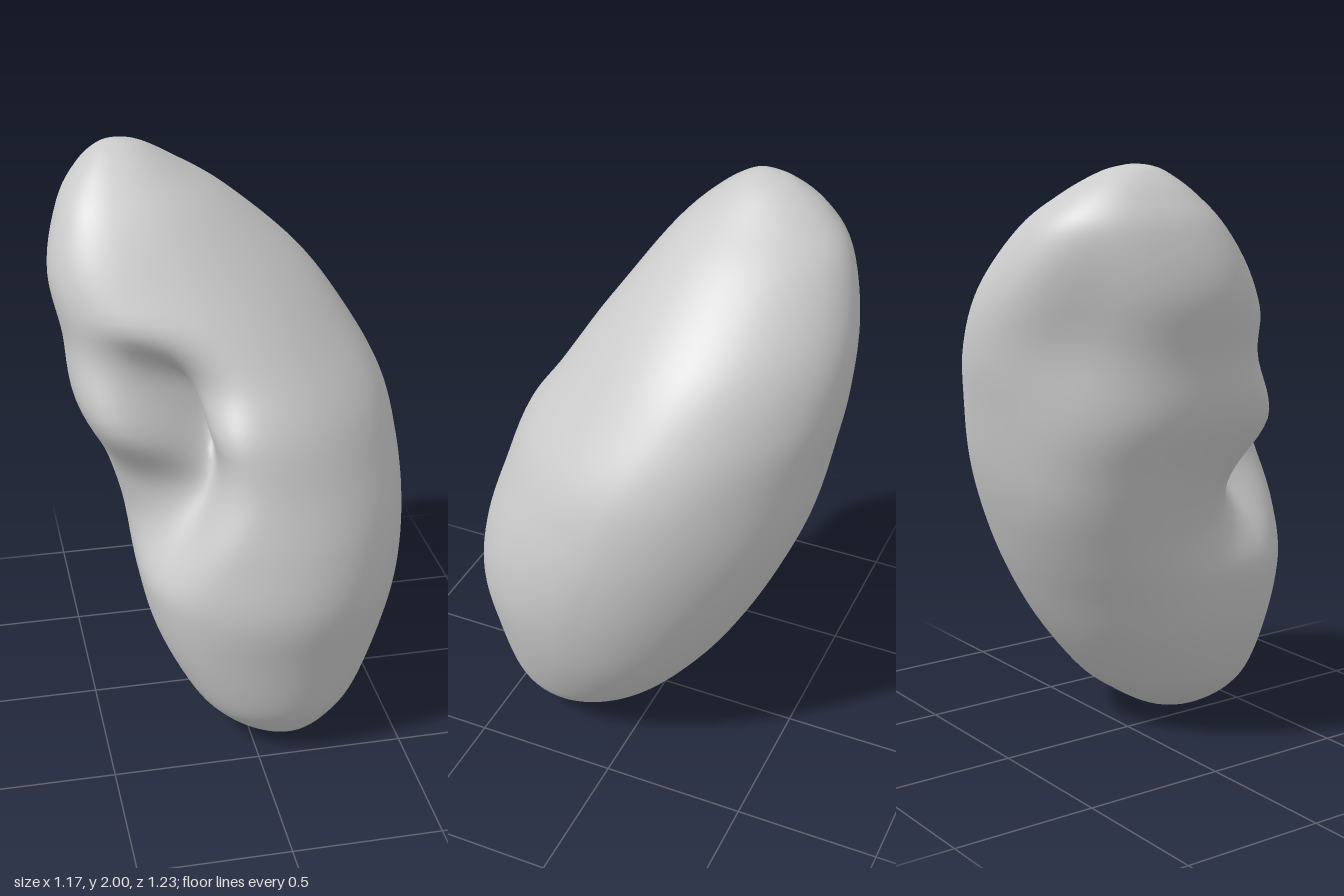
import * as THREE from 'three';

const RINGS = 96, SEGS = 120;

// Body outline at rising heights: y, xMin, xMax, zMin, zMax
const OUTLINE = [
  [0, 0.13, 0.13, 0.29, 0.29],
  [0.006, 0.07, 0.19, 0.23, 0.35],
  [0.03, 0.0, 0.25, 0.15, 0.42],
  [0.1, -0.11, 0.335, 0.03, 0.485],
  [0.2, -0.2, 0.41, -0.1, 0.54],
  [0.4, -0.3, 0.5, -0.26, 0.585],
  [0.6, -0.345, 0.555, -0.375, 0.62],
  [0.8, -0.37, 0.58, -0.46, 0.595],
  [1.0, -0.43, 0.575, -0.53, 0.54],
  [1.2, -0.52, 0.535, -0.58, 0.48],
  [1.4, -0.545, 0.43, -0.618, 0.355],
  [1.6, -0.57, 0.28, -0.61, 0.22],
  [1.8, -0.53, 0.05, -0.535, 0.08],
  [1.91, -0.47, -0.12, -0.43, -0.03],
  [1.975, -0.41, -0.23, -0.32, -0.12],
  [1.995, -0.37, -0.29, -0.25, -0.17],
  [2, -0.33, -0.33, -0.21, -0.21],
];

const spline = (fn) => new THREE.CatmullRomCurve3(OUTLINE.map(fn), false, 'catmullrom', 0.5);
const centres = spline(([y, a, b, c, d]) => new THREE.Vector3((a + b) / 2, y, (c + d) / 2));
const halves = spline(([y, a, b, c, d]) => new THREE.Vector3((b - a) / 2, y, (d - c) / 2));
const bell = (v, s) => Math.exp(-0.5 * (v / s) ** 2);
const step = THREE.MathUtils.smoothstep;

// Fuller upper lobe and lower back, flatter on the other two diagonals
function swelling(deg, y) {
  const lobe = 0.05 + 0.05 * step(y, 1.0, 1.3) + 0.11 * step(y, 1.35, 1.75);
  const back = 0.15 * bell(y - 0.85, 0.22) - 0.15 * bell(y - 1.54, 0.18);
  const front = -0.06 * bell(y - 1.35, 0.3);
  const outer = -0.05 * bell(y - 1.15, 0.4);
  return 1 + lobe * bell(deg - 142, 20) + back * bell(deg - 225, 22)
    + front * bell(deg - 45, 22) + outer * bell(deg - 315, 22);
}

// Slanting notch on the inner side, narrow under the upper lobe, with a deep pit
function notch(deg, y) {
  const off = deg - (154 - 30 * step(y, 0.62, 1.15));
  const depth = 0.42 * step(y, 0.58, 1.0) * (1 - step(y, 1.27, 1.53));
  const frontWidth = 11 + 5 * step(y, 1.15, 1.35);
  const backWidth = 19 - 8 * step(y, 0.92, 1.2);
  const pit = 0.26 * bell(deg - 125, 7) * bell(y - 1.2, 0.09);
  return depth * bell(off, off < 0 ? frontWidth : backWidth) + pit;
}

function bodyGeometry() {
  const pos = [], index = [];
  const first = centres.getPoint(0), last = centres.getPoint(1);
  pos.push(first.x, first.y, first.z);
  for (let i = 1; i < RINGS; i++) {
    const c = centres.getPoint(i / RINGS), h = halves.getPoint(i / RINGS);
    for (let j = 0; j < SEGS; j++) {
      const deg = (j / SEGS) * 360, a = THREE.MathUtils.degToRad(deg);
      const k = swelling(deg, c.y) - notch(deg, c.y);
      pos.push(c.x + h.x * k * Math.cos(a), c.y, c.z + h.z * k * Math.sin(a));
    }
  }
  const top = pos.length / 3;
  pos.push(last.x, last.y, last.z);
  const at = (i, j) => 1 + (i - 1) * SEGS + (j % SEGS);
  for (let j = 0; j < SEGS; j++) {
    index.push(0, at(1, j), at(1, j + 1));
    for (let i = 1; i < RINGS - 1; i++) {
      index.push(at(i, j), at(i + 1, j), at(i, j + 1));
      index.push(at(i, j + 1), at(i + 1, j), at(i + 1, j + 1));
    }
    index.push(at(RINGS - 1, j), top, at(RINGS - 1, j + 1));
  }
  const g = new THREE.BufferGeometry();
  g.setAttribute('position', new THREE.Float32BufferAttribute(pos, 3));
  g.setIndex(index);
  g.computeVertexNormals();
  return g;
}

export function createModel() {
  const group = new THREE.Group();
  group.name = 'kidney';
  const body = new THREE.Mesh(
    bodyGeometry(),
    new THREE.MeshStandardMaterial({ color: 0xcccccc, side: THREE.DoubleSide }),
  );
  body.name = 'kidneyBody';
  group.add(body);
  return group;
}
